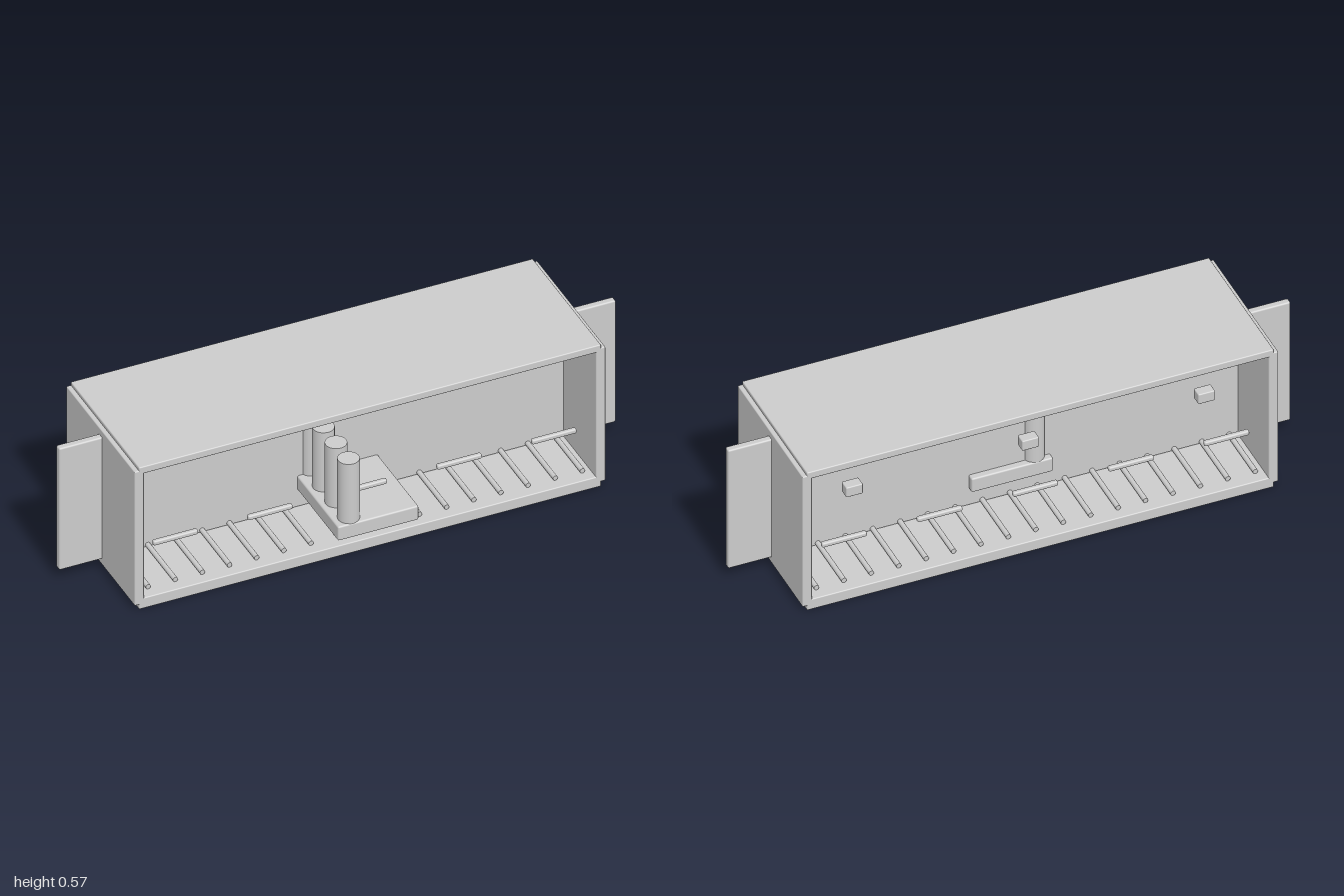
import * as THREE from 'three';
import { RoundedBoxGeometry } from 'three/addons/geometries/RoundedBoxGeometry.js';

const MID = -0.0325; // depth centre of the case and its panel

export function createModel() {
  const model = new THREE.Group();
  const material = new THREE.MeshStandardMaterial({ color: 0xcccccc });

  const add = (name, geometry, x, y, z) => {
    const mesh = new THREE.Mesh(geometry, material);
    mesh.name = name;
    mesh.position.set(x, y, z);
    model.add(mesh);
    return mesh;
  };
  // Softly rounded block given by its limits on each axis
  const block = (name, [x0, x1], [y0, y1], [z0, z1], r = 0.004) =>
    add(name, new RoundedBoxGeometry(x1 - x0, y1 - y0, z1 - z0, 2, r),
      (x0 + x1) / 2, (y0 + y1) / 2, (z0 + z1) / 2);
  // Round bar running front to back
  const bar = (name, r, x, y, length) => {
    const geometry = new THREE.CylinderGeometry(r, r, length, 16);
    geometry.rotateX(Math.PI / 2);
    return add(name, geometry, x, y, MID);
  };

  // Case, open at front and back
  const depth = [-0.3, 0.235];
  block('floor', [-0.83, 0.83], [0, 0.042], depth);
  block('roof', [-0.83, 0.83], [0.54, 0.568], depth);
  block('leftWall', [0.812, 0.846], [0.019, 0.555], depth);
  block('rightWall', [-0.846, -0.812], [0.019, 0.555], depth);

  // Centre panel passing out through both walls
  block('centrePanel', [-1, 1], [0.043, 0.53], [-0.045, -0.019], 0.006);

  for (let i = -2; i <= 2; i++) {
    const x = i * 0.34;
    // Tabs joining panel and roof
    block('panelTab', [x - 0.08, x + 0.08], [0.525, 0.545], [-0.045, -0.019]);
    // Slim strips in front of and behind the panel
    for (const s of [-1, 1]) {
      const z = MID + s * 0.222;
      block('strip', [x - 0.08, x + 0.08], [0.209, 0.227], [z - 0.009, z + 0.009], 0.006);
    }
    // Wide bars through the upper panel
    const w = i * 0.293;
    block('upperBar', [w - 0.096, w + 0.096], [0.446, 0.491], [MID - 0.04, MID + 0.04]);
  }

  // Pegs along the top of the panel
  for (let i = -3; i <= 3; i++) bar('peg', 0.016, i * 0.244, 0.515, 0.15);

  // Rods along the floor
  for (let i = -8; i <= 8; i++) bar('floorRod', 0.009, i * 0.0975, 0.053, 0.46);

  // Small blocks at the back
  for (const x of [-0.626, 0, 0.626])
    block('smallBlock', [x - 0.03, x + 0.03], [0.355, 0.395], [-0.22, -0.18]);

  // Slab with a row of posts
  block('slab', [-0.145, 0.145], [0.112, 0.168], [-0.07, 0.3], 0.006);
  for (let i = 0; i < 4; i++)
    add('post', new THREE.CylinderGeometry(0.037, 0.037, 0.245, 32), -0.09, 0.2825, MID + i * 0.098);

  return model;
}
